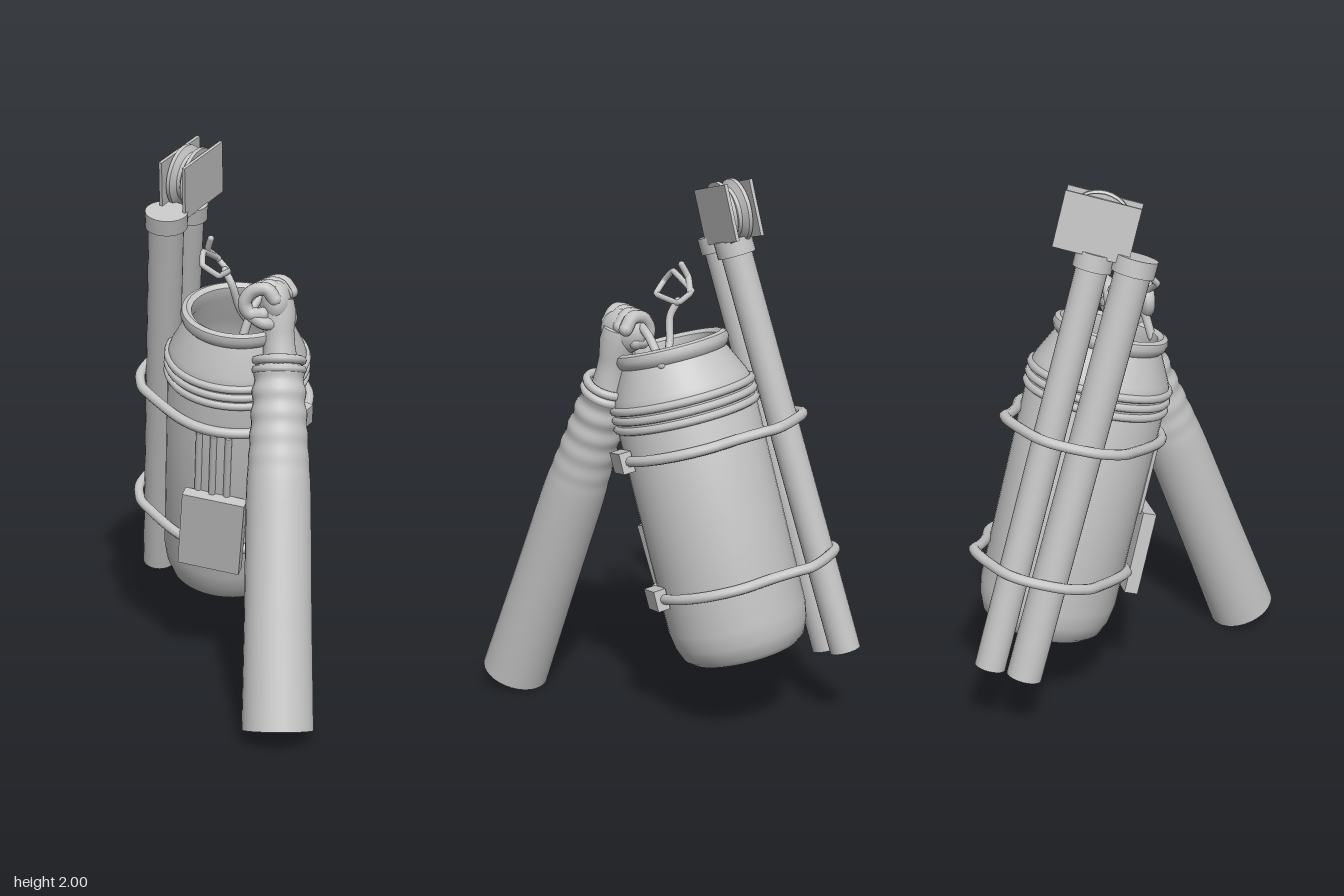
import * as THREE from 'three';
import { toCreasedNormals } from 'three/addons/utils/BufferGeometryUtils.js';

const V = (a) => new THREE.Vector3(...a);

export function createModel() {
  const grey = new THREE.MeshStandardMaterial({ color: 0xc4c4c4, side: THREE.DoubleSide });
  grey.name = 'plain grey';
  const model = new THREE.Group();

  function add(parent, name, geo, pos = [0, 0, 0], rot = [0, 0, 0]) {
    const m = new THREE.Mesh(geo, grey);
    m.name = name;
    m.position.set(...pos);
    m.rotation.set(...rot);
    parent.add(m);
    return m;
  }
  // Group whose local y runs from point a towards point b
  function axisGroup(name, a, b) {
    const g = new THREE.Group();
    g.name = name;
    g.position.set(...a);
    g.quaternion.setFromUnitVectors(V([0, 1, 0]), V(b).sub(V(a)).normalize());
    model.add(g);
    return g;
  }
  const lathe = (pts, seg = 40, crease = 0.6) =>
    toCreasedNormals(new THREE.LatheGeometry(pts.map((p) => new THREE.Vector2(...p)), seg), crease);
  const tube = (pts, r, closed = false, n = 40, tension = 0.5) =>
    new THREE.TubeGeometry(new THREE.CatmullRomCurve3(pts.map(V), closed, 'catmullrom', tension), n, r, 10, closed);
  // Bent rod with rounded ends
  function rod(parent, name, pts, r, n = 20, tension = 0.5) {
    add(parent, name, tube(pts, r, false, n, tension));
    for (const p of [pts[0], pts[pts.length - 1]]) add(parent, name + 'End', new THREE.SphereGeometry(r, 10, 8), p);
  }

  // Canister: open shell with shoulder, inner wall and floor
  const can = axisGroup('canister', [-0.055, 0.305, -0.36], [0.04, 1.41, -0.06]);
  add(can, 'canisterShell', lathe([
    [0, 0], [0.2, 0], [0.225, 0.02], [0.245, 0.07], [0.255, 0.13], [0.255, 0.97], [0.245, 1.0],
    [0.195, 1.1], [0.205, 1.11], [0.212, 1.13], [0.207, 1.15], [0.19, 1.157], [0.172, 1.145],
    [0.17, 1.1], [0.215, 0.99], [0.215, 0.9], [0, 0.88],
  ], 48));
  for (const t of [0.895, 0.93, 0.965])
    add(can, 'canisterBand', new THREE.TorusGeometry(0.254, 0.015, 8, 48), [0, t, 0], [Math.PI / 2, 0, 0]);

  // Straps bulging round the two pipes, each with a buckle
  for (const t of [0.28, 0.79]) {
    const pts = [];
    for (let i = 0; i <= 8; i++) {
      const a = -1.45 + i * 0.46;
      pts.push([0.27 * Math.cos(a), t, 0.27 * Math.sin(a)]);
    }
    for (const [x, z] of [[-0.3, 0.09], [-0.355, 0.02], [-0.375, -0.09], [-0.325, -0.24],
      [-0.21, -0.31], [-0.1, -0.34], [-0.05, -0.31]]) pts.push([x, t, z]);
    add(can, 'strap', tube(pts, 0.019, true, 96));
    add(can, 'buckle', new THREE.BoxGeometry(0.045, 0.075, 0.1), [0.26, t, 0.1], [0, -0.36, 0]);
  }

  // Front panel with three ribs above it
  add(can, 'frontPanel', new THREE.BoxGeometry(0.235, 0.31, 0.05), [-0.02, 0.355, 0.275], [0, -0.06, -0.035]);
  for (const x of [-0.085, -0.03, 0.025])
    add(can, 'panelRib', new THREE.CylinderGeometry(0.013, 0.013, 0.26, 10),
      [x, 0.63, Math.sqrt(0.255 ** 2 - x * x)]);

  // Two pipes with collars
  for (const [a, b, r] of [
    [[-0.365, 0.265, -0.49], [-0.22, 1.765, -0.035], 0.064],
    [[-0.325, 0.3, -0.605], [-0.165, 1.775, -0.165], 0.056],
  ]) {
    const L = V(a).distanceTo(V(b));
    add(axisGroup('pipe', a, b), 'pipeBody', lathe([
      [0, 0], [r, 0], [r, L - 0.06], [r + 0.013, L - 0.06], [r + 0.013, L], [0, L]], 24));
  }

  // Pulley head: grooved wheel between two plates
  const head = axisGroup('pulley', [-0.155, 1.868, -0.155], [-0.105, 2.868, 0.115]);
  head.rotateY(-0.33);
  for (const s of [-1, 1])
    add(head, 'pulleyPlate', new THREE.BoxGeometry(0.012, 0.2, 0.265), [s * 0.048, 0, 0]);
  add(head, 'pulleyWheel', lathe([
    [0, -0.036], [0.115, -0.036], [0.115, -0.022], [0.092, -0.007], [0.092, 0.007],
    [0.115, 0.022], [0.115, 0.036], [0, 0.036]], 32), [0, 0, 0], [0, 0, Math.PI / 2]);

  // Bail handle, cord and clip at the mouth
  rod(model, 'bailHandle', [[0.08, 1.34, 0.1], [0.115, 1.45, 0.07], [0.15, 1.5, 0.01],
    [0.18, 1.47, -0.1], [0.19, 1.38, -0.18]], 0.016);
  rod(model, 'cord', [[0.07, 1.36, -0.08], [0.04, 1.42, -0.06], [0.02, 1.5, -0.04], [-0.01, 1.555, -0.05]], 0.014);
  add(model, 'clip', tube([[-0.07, 1.64, 0.04], [-0.065, 1.6, 0.08], [-0.01, 1.56, 0.065],
    [0, 1.55, -0.06], [-0.045, 1.59, -0.085]], 0.011, true, 40, 0.1));
  rod(model, 'clipHook', [[-0.04, 1.59, -0.08], [-0.07, 1.63, -0.04], [-0.055, 1.675, -0.02]], 0.012, 12, 0.2);

  // Sleeve: straight below, wrinkled towards the cuff
  const arm = axisGroup('arm', [0.295, 0.05, 0.535], [0.21, 1.27, 0.07]);
  const sleeve = [[0, 0], [0.127, 0], [0.12, 0.4], [0.116, 0.8]];
  for (let i = 0; i <= 40; i++) {
    const k = i / 40;
    sleeve.push([0.114 - 0.026 * k + 0.005 * k * Math.sin(k * 34), 0.86 + 0.42 * k]);
  }
  sleeve.push([0.05, 1.3]);
  add(arm, 'sleeve', lathe(sleeve, 32, 0.9));
  for (const t of [1.268, 1.302])
    add(arm, 'cuff', new THREE.TorusGeometry(0.083, 0.016, 8, 32), [0, t, 0], [Math.PI / 2, 0, 0]);

  // Wrist and palm
  const wrist = axisGroup('wrist', [0.215, 1.24, 0.075], [0.195, 1.47, 0.03]);
  add(wrist, 'wristBody', lathe([[0.066, 0], [0.057, 0.08], [0.056, 0.13], [0.066, 0.19], [0.06, 0.24], [0, 0.26]], 20, 1));
  const palm = add(model, 'palm', new THREE.SphereGeometry(1, 24, 16), [0.188, 1.465, 0.02], [0, 0.2, 0]);
  palm.scale.set(0.055, 0.078, 0.092);

  // Four fingers curled over the handle, and the thumb
  for (let i = 0; i < 4; i++) {
    const z = 0.09 - i * 0.044, s = i * 0.012 - 0.008;
    rod(model, 'finger', [[0.205 + s, 1.49, z], [0.175 + s, 1.525, z], [0.125 + s, 1.517, z],
      [0.097 + s, 1.475, z], [0.115 + s, 1.435, z], [0.16 + s, 1.435, z]], 0.025);
  }
  rod(model, 'thumb', [[0.2, 1.4, 0.07], [0.16, 1.405, 0.1], [0.115, 1.425, 0.085]], 0.024);

  return model;
}
